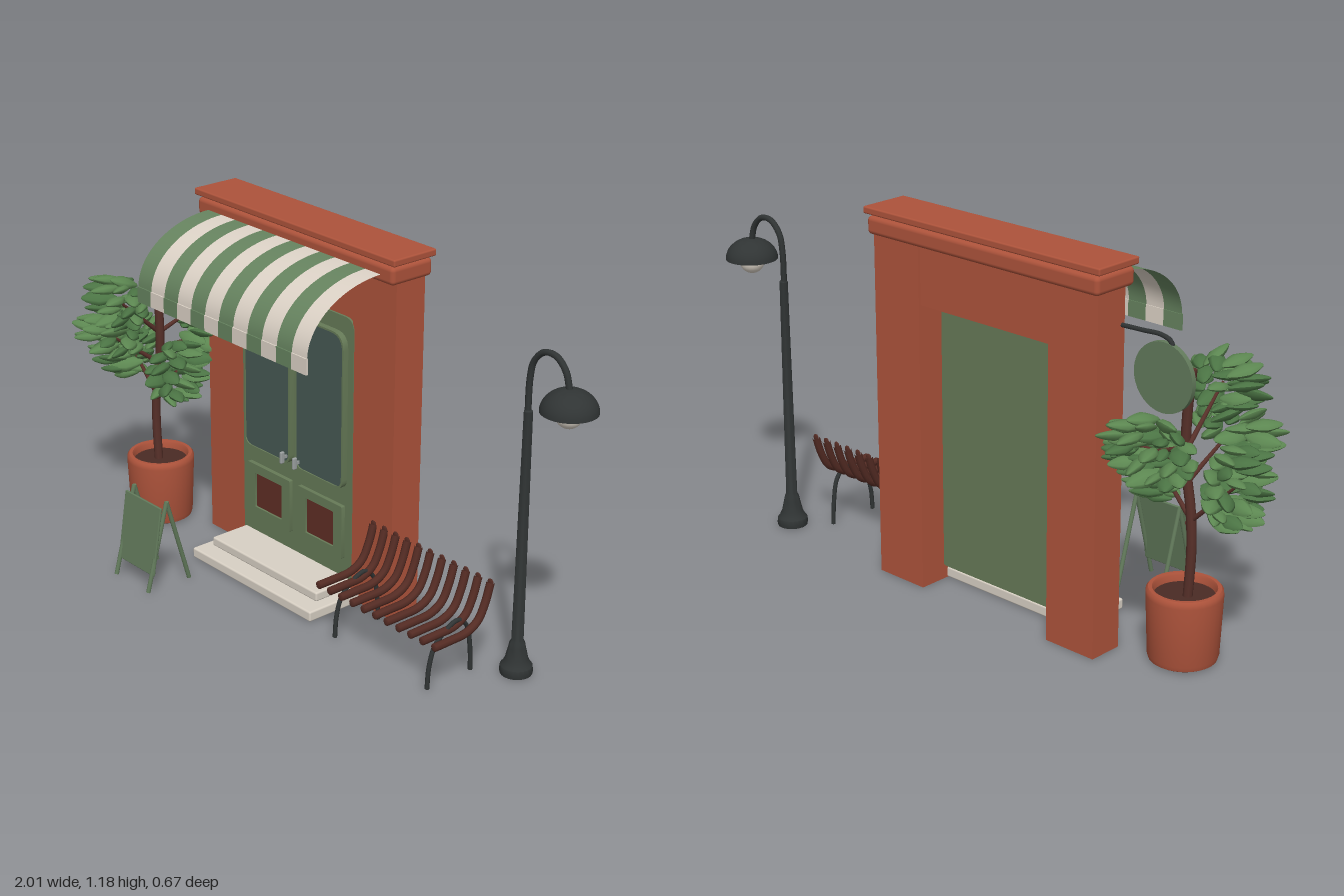
import * as THREE from 'three';
import { mergeGeometries, toCreasedNormals } from 'three/addons/utils/BufferGeometryUtils.js';
import { RoundedBoxGeometry } from 'three/addons/geometries/RoundedBoxGeometry.js';

const mat = (color, side = THREE.FrontSide) => new THREE.MeshStandardMaterial({ color, side });
const M = {
  brick: mat(0xad533b), green: mat(0x667a57), glass: mat(0x465853), wine: mat(0x5f2d24), stone: mat(0xd8d0c4),
  iron: mat(0x303434), wood: mat(0x552c24), bark: mat(0x573029), metal: mat(0x9a9f9f), soil: mat(0x4a2b24),
  awnGreen: mat(0x66835f, THREE.DoubleSide), awnCream: mat(0xdcd2c6, THREE.DoubleSide),
  board: mat(0x627a5b), leafA: mat(0x4b7444), leafB: mat(0x5c8751), shade: mat(0x303434, THREE.DoubleSide),
};
const V = (x, y, z) => new THREE.Vector3(x, y, z);

function add(parent, name, geo, material, x = 0, y = 0, z = 0) {
  const m = new THREE.Mesh(geo, material);
  m.name = name;
  m.position.set(x, y, z);
  parent.add(m);
  return m;
}
function group(parent, name) {
  const g = new THREE.Group();
  g.name = name;
  parent.add(g);
  return g;
}
// Box given by its limits, with an optional rounded edge
function block(parent, name, material, [x0, x1], [y0, y1], [z0, z1], r = 0) {
  const s = [x1 - x0, y1 - y0, z1 - z0];
  const geo = r ? new RoundedBoxGeometry(...s, 3, r) : new THREE.BoxGeometry(...s);
  return add(parent, name, geo, material, (x0 + x1) / 2, (y0 + y1) / 2, (z0 + z1) / 2);
}
// Rounded rectangle outline with separate top and bottom radii
function outline(Type, x0, x1, y0, y1, rt, rb = rt) {
  const s = new Type();
  s.moveTo(x0 + rb, y0);
  s.lineTo(x1 - rb, y0); s.quadraticCurveTo(x1, y0, x1, y0 + rb);
  s.lineTo(x1, y1 - rt); s.quadraticCurveTo(x1, y1, x1 - rt, y1);
  s.lineTo(x0 + rt, y1); s.quadraticCurveTo(x0, y1, x0, y1 - rt);
  s.lineTo(x0, y0 + rb); s.quadraticCurveTo(x0, y0, x0 + rb, y0);
  return s;
}
const slab = (shape, depth) => toCreasedNormals(
  new THREE.ExtrudeGeometry(shape, { depth, bevelEnabled: false, curveSegments: 6 }), 0.6);
const tube = (pts, r, seg = 24) => new THREE.TubeGeometry(new THREE.CatmullRomCurve3(pts), seg, r, 8);
const lathe = (pts, seg = 32) => toCreasedNormals(
  new THREE.LatheGeometry(pts.map(p => new THREE.Vector2(...p)), seg), 0.7);
// Straight round bar between two points
function bar(parent, name, material, a, b, r0, r1 = r0) {
  const m = add(parent, name, new THREE.CylinderGeometry(r1, r0, a.distanceTo(b), 10), material);
  m.position.copy(a).lerp(b, 0.5);
  m.quaternion.setFromUnitVectors(V(0, 1, 0), b.clone().sub(a).normalize());
}

function buildFacade(root) {
  const g = group(root, 'facade');
  block(g, 'leftPillar', M.brick, [-0.58, -0.4], [0, 1.1], [-0.257, -0.145]);
  block(g, 'rightPillar', M.brick, [0.11, 0.295], [0, 1.1], [-0.257, -0.145]);
  block(g, 'lintel', M.brick, [-0.4, 0.11], [0.91, 1.1], [-0.25, -0.15]);
  block(g, 'cornice', M.brick, [-0.59, 0.31], [1.092, 1.148], [-0.273, -0.114], 0.014);
  block(g, 'coping', M.brick, [-0.6, 0.32], [1.154, 1.176], [-0.277, -0.11], 0.005);
  block(g, 'lowerStep', M.stone, [-0.43, 0.15], [0, 0.034], [-0.15, 0.055], 0.006);
  block(g, 'upperStep', M.stone, [-0.4, 0.112], [0.034, 0.065], [-0.15, -0.004], 0.006);
}

function buildDoor(root) {
  const g = group(root, 'door');
  const cx = -0.143;
  add(g, 'doorPanel', slab(outline(THREE.Shape, -0.405, 0.117, 0.045, 0.93, 0.04, 0.02), 0.022), M.green, 0, 0, -0.165);
  for (const s of [-1, 1]) {
    const c = cx + s * 0.124, side = s < 0 ? 'right' : 'left';
    add(g, side + 'Glass', slab(outline(THREE.Shape, c - 0.107, c + 0.107, 0.375, 0.875, 0.05, 0.03), 0.016), M.glass, 0, 0, -0.143);
    const rim = outline(THREE.Shape, c - 0.112, c + 0.112, 0.37, 0.88, 0.053, 0.033);
    rim.holes.push(outline(THREE.Path, c - 0.106, c + 0.106, 0.376, 0.874, 0.05, 0.03));
    add(g, side + 'GlassRim', slab(rim, 0.022), M.green, 0, 0, -0.145);
    const frame = outline(THREE.Shape, c - 0.104, c + 0.104, 0.13, 0.31, 0.004);
    frame.holes.push(outline(THREE.Path, c - 0.066, c + 0.066, 0.16, 0.28, 0.004));
    add(g, side + 'PanelFrame', slab(frame, 0.016), M.green, 0, 0, -0.145);
    block(g, side + 'LowerPanel', M.wine, [c - 0.066, c + 0.066], [0.16, 0.28], [-0.145, -0.136]);
    const hx = cx + s * 0.03;
    block(g, side + 'Handle', M.metal, [hx - 0.005, hx + 0.005], [0.375, 0.415], [-0.116, -0.1], 0.004);
    block(g, side + 'HandleStem', M.metal, [hx - 0.003, hx + 0.003], [0.39, 0.4], [-0.145, -0.108]);
  }
}

// Striped canopy: a plane bent along a quarter ellipse, with a hanging lip
function buildAwning(root) {
  const g = group(root, 'awning');
  const n = 12, w = 0.795 / n;
  for (let i = 0; i < n; i++) {
    const material = i % 2 ? M.awnCream : M.awnGreen, x = -0.535 + (i + 0.5) * w;
    const geo = new THREE.PlaneGeometry(w, 1, 1, 18), p = geo.attributes.position;
    for (let k = 0; k < p.count; k++) {
      const t = (0.5 - p.getY(k)) * Math.PI / 2;
      p.setXYZ(k, p.getX(k), 0.925 + 0.193 * Math.cos(t), -0.12 + 0.284 * Math.sin(t));
    }
    geo.computeVertexNormals();
    add(g, 'canopyStripe', geo, material, x);
    block(g, 'lipStripe', material, [x - w / 2, x + w / 2], [0.88, 0.93], [0.161, 0.168]);
  }
}

function buildBench(root) {
  const g = group(root, 'bench');
  // Slat profile drawn in (z, y), thickened across x
  const path = new THREE.CatmullRomCurve3([[0.078, 0.164], [0.02, 0.164], [-0.05, 0.167],
    [-0.095, 0.19], [-0.123, 0.24], [-0.142, 0.298]].map(([z, y]) => V(0, y, z)));
  for (let i = 0; i < 11; i++) {
    const x = 0.217 + i * 0.0498;
    add(g, 'slat', new THREE.TubeGeometry(path, 22, 0.0125, 8), M.wood, x);
    for (const t of [0, 1]) {
      const cap = add(g, 'slatEnd', new THREE.SphereGeometry(0.0125, 8, 6), M.wood);
      cap.position.copy(path.getPoint(t)).setX(x);
      cap.scale.z = 0.3;
    }
  }
  for (const x of [0.267, 0.668]) {
    add(g, 'legArch', tube([[0.056, 0], [0.05, 0.07], [0.03, 0.13], [-0.01, 0.165], [-0.06, 0.185],
      [-0.098, 0.155], [-0.115, 0.08], [-0.12, 0]].map(([z, y]) => V(x, y, z)), 0.007, 32), M.iron);
  }
}

function buildLamp(root) {
  const g = group(root, 'streetLamp');
  g.position.set(0.767, 0, -0.21);
  add(g, 'post', lathe([[0, 0], [0.048, 0], [0.05, 0.01], [0.048, 0.026], [0.042, 0.032], [0.034, 0.05], [0.026, 0.085],
    [0.023, 0.1], [0.018, 0.11], [0.013, 0.832], [0.009, 0.836], [0, 0.836]], 20), M.iron);
  add(g, 'arm', tube([V(-0.002, 0.82, 0), V(0, 0.93, 0), V(0.012, 0.985, 0), V(0.05, 1.022, 0), V(0.095, 1.022, 0),
    V(0.13, 0.99, 0), V(0.148, 0.935, 0)], 0.0095, 40), M.iron);
  const dome = [];
  for (let i = 0; i <= 10; i++) {
    const t = i / 10 * Math.PI / 2;
    dome.push([0.083 * Math.cos(t) + 1e-4, 0.878 + 0.067 * Math.sin(t)]);
  }
  add(g, 'shade', lathe(dome, 28), M.shade, 0.15);
  add(g, 'bulb', new THREE.SphereGeometry(0.04, 20, 14), M.stone, 0.15, 0.87);
}

function buildTree(root) {
  const g = group(root, 'pottedTree');
  g.position.set(-0.76, 0, -0.07);
  add(g, 'pot', lathe([[0, 0], [0.09, 0], [0.1, 0.006], [0.104, 0.02], [0.112, 0.205], [0.111, 0.218], [0.105, 0.225],
    [0.094, 0.225], [0.09, 0.218], [0.088, 0.19]], 32), M.brick);
  add(g, 'soil', new THREE.CylinderGeometry(0.09, 0.09, 0.01, 24), M.soil, 0, 0.195);
  add(g, 'trunk', tube([V(-0.01, 0.19, 0), V(-0.018, 0.35, 0), V(-0.01, 0.47, 0), V(0.012, 0.6, 0),
    V(0.012, 0.74, 0), V(0, 0.875, 0)], 0.0145, 30), M.bark);
  add(g, 'trunkTop', new THREE.CylinderGeometry(0.0145, 0.0145, 0.006, 8), M.bark, 0, 0.876);

  let seed = 7;
  const rnd = () => { seed = (seed * 16807) % 2147483647; return seed / 2147483647; };
  const jit = a => (rnd() * 2 - 1) * a;
  // One pointed leaf along +z
  const leaf = new THREE.SphereGeometry(1, 8, 8).rotateX(Math.PI / 2);
  const lp = leaf.attributes.position;
  for (let i = 0; i < lp.count; i++) {
    const k = 1 - 0.35 * Math.abs(lp.getZ(i));
    lp.setXYZ(i, lp.getX(i) * 0.027 * k, lp.getY(i) * 0.015 * k, lp.getZ(i) * 0.052);
  }
  leaf.computeVertexNormals();
  // Each cluster: centre, radii, leaf count, branch start height
  const clusters = [
    [V(0.01, 0.8, 0.155), V(0.11, 0.075, 0.04), 30, 0.66],
    [V(-0.03, 0.675, 0.165), V(0.13, 0.05, 0.04), 22, 0.55],
    [V(0.125, 0.56, 0.02), V(0.05, 0.095, 0.08), 34, 0.45],
    [V(-0.16, 0.575, 0.0), V(0.045, 0.11, 0.1), 38, 0.42],
    [V(-0.02, 0.7, -0.19), V(0.13, 0.085, 0.035), 32, 0.65],
    [V(0.13, 0.66, -0.1), V(0.04, 0.05, 0.05), 12, 0.6],
  ];
  const flat = V(1, 0.35, 1);
  for (const [c, r, n, y0] of clusters) {
    bar(g, 'branch', M.bark, V(0, y0, 0), c, 0.008, 0.004);
    const sets = [[], []];
    for (let i = 0; i < n; i++) {
      // Even spread over the ellipsoid
      const h = 1 - 2 * (i + 0.5) / n, a = i * 2.39996, q = Math.sqrt(1 - h * h);
      const d = V(q * Math.cos(a), h, q * Math.sin(a));
      const pos = d.clone().multiply(r).add(c);
      const dir = pos.clone().setY(0).normalize().add(d.multiplyScalar(0.5))
        .add(V(jit(0.4), jit(0.35) + 0.1, jit(0.4))).multiply(flat);
      const o = new THREE.Object3D();
      o.position.copy(pos);
      o.lookAt(pos.clone().add(dir));
      o.rotateZ(jit(0.7));
      o.scale.setScalar(0.85 + rnd() * 0.3);
      o.updateMatrix();
      sets[rnd() < 0.5 ? 0 : 1].push(leaf.clone().applyMatrix4(o.matrix));
    }
    sets.forEach((s, i) => s.length && add(g, 'leafCluster', mergeGeometries(s), i ? M.leafB : M.leafA));
  }
}

function buildSigns(root) {
  // Round sign on a bent wall arm
  const h = group(root, 'hangingSign');
  add(h, 'disc', new THREE.CylinderGeometry(0.102, 0.102, 0.016, 36).rotateX(Math.PI / 2), M.board, -0.733, 0.872, -0.155);
  add(h, 'signArm', tube([V(-0.56, 0.985, -0.155), V(-0.65, 0.988, -0.155), V(-0.72, 0.99, -0.155),
    V(-0.752, 0.978, -0.155), V(-0.762, 0.945, -0.155)], 0.007), M.iron);
  // Folding pavement sign
  const f = group(root, 'pavementSign');
  for (const x of [-0.492, -0.324]) {
    bar(f, 'frontLeg', M.board, V(x, 0.002, 0.316), V(x, 0.292, 0.236), 0.007);
    bar(f, 'backLeg', M.board, V(x, 0.002, 0.154), V(x, 0.292, 0.236), 0.007);
  }
  const board = block(f, 'board', M.board, [-0.5, -0.316], [0.053, 0.281], [0.275, 0.283], 0.003);
  board.rotation.x = -0.155;
}

export function createModel() {
  const root = new THREE.Group();
  root.name = 'shopFront';
  [buildFacade, buildDoor, buildAwning, buildBench, buildLamp, buildTree, buildSigns].forEach(f => f(root));
  return root;
}
